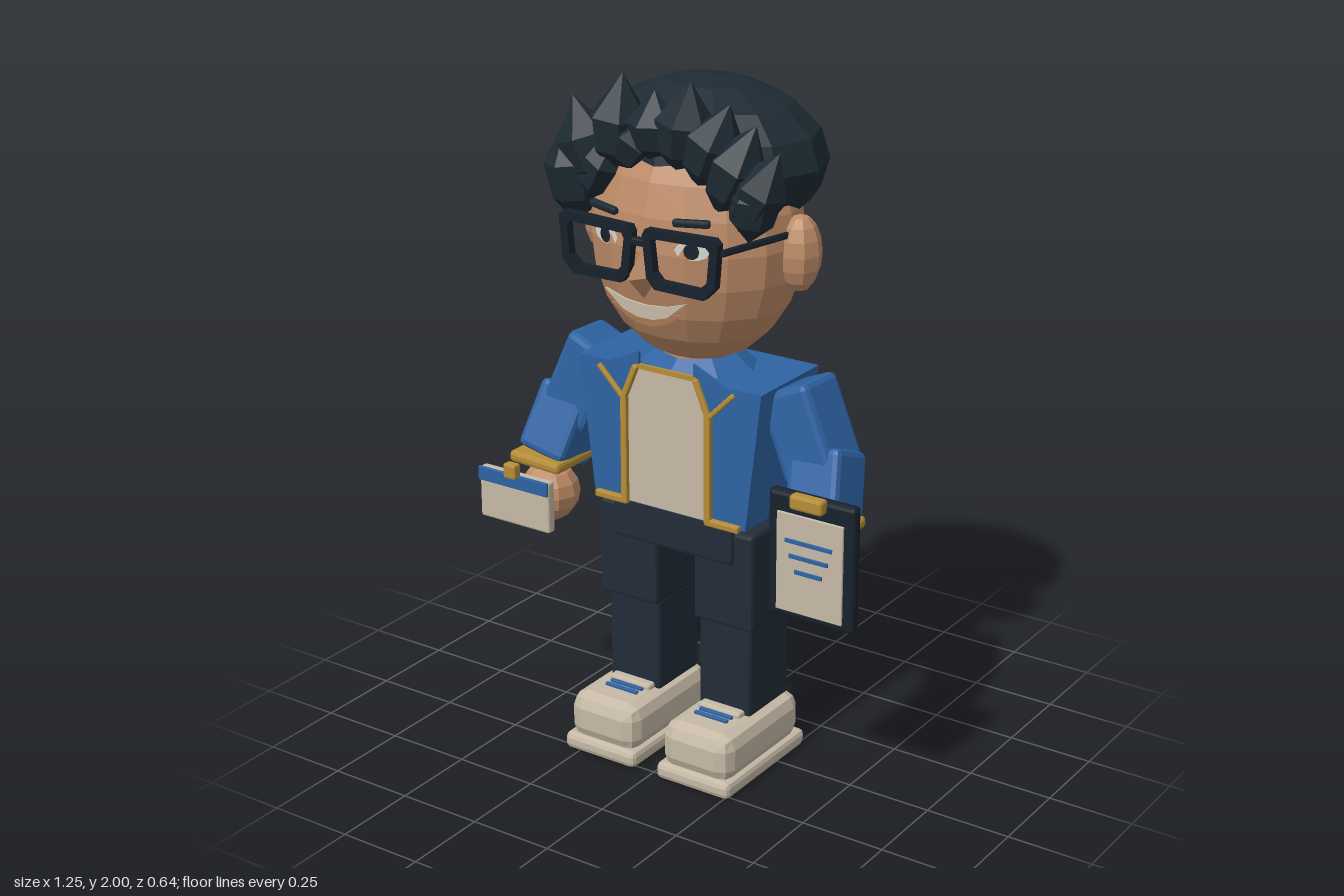
import * as THREE from 'three';
import { RoundedBoxGeometry } from 'three/addons/geometries/RoundedBoxGeometry.js';

const mat = (name, color) => {
  const m = new THREE.MeshStandardMaterial({ color, flatShading: true, side: THREE.DoubleSide });
  m.name = name;
  return m;
};

export function createModel() {
  const skin = mat('skin', 0xbe8c68), lip = mat('lip', 0xa87553), cream = mat('cream', 0xc6baa6);
  const blue = mat('jacketBlue', 0x2e63a3), navy = mat('trouserNavy', 0x222d38), hair = mat('hair', 0x1e2b34);
  const gold = mat('gold', 0xb68d36), dark = mat('frameBlack', 0x17212b), white = mat('eyeWhite', 0xd8d8d2);

  const model = new THREE.Group();
  model.name = 'figure';
  const body = new THREE.Group();
  body.name = 'body';
  body.position.x = -0.016;
  model.add(body);

  const add = (name, geo, material, x = 0, y = 0, z = 0, parent = body) => {
    const m = new THREE.Mesh(geo, material);
    m.name = name;
    m.position.set(x, y, z);
    parent.add(m);
    return m;
  };
  // Box with chamfered edges
  const box = (name, w, h, d, material, x, y, z, bevel = 0.012) =>
    add(name, new RoundedBoxGeometry(w, h, d, 1, Math.min(bevel, w / 3, h / 3, d / 3)), material, x, y, z);
  // Flat plate cut from an outline
  const plate = (name, pts, depth, material, z, parent = body) =>
    add(name, new THREE.ExtrudeGeometry(new THREE.Shape(pts.map(p => new THREE.Vector2(...p))),
      { depth, bevelEnabled: false }), material, 0, 0, z, parent);
  // Chamfered bar between two points
  const bar = (name, a, b, w, d, material, bevel = 0.018) => {
    const A = new THREE.Vector3(...a), B = new THREE.Vector3(...b);
    const dir = A.clone().sub(B), len = dir.length();
    const m = box(name, w, len, d, material, 0, 0, 0, bevel);
    m.position.copy(A).add(B).multiplyScalar(0.5);
    m.quaternion.setFromUnitVectors(new THREE.Vector3(0, 1, 0), dir.normalize());
    return m;
  };
  const ball = (name, rx, ry, rz, ws, hs, material, x, y, z) => {
    const g = new THREE.SphereGeometry(1, ws, hs);
    g.scale(rx, ry, rz);
    return add(name, g, material, x, y, z);
  };

  // Head and hair cap
  ball('head', 0.31, 0.365, 0.255, 16, 12, skin, 0, 1.55, 0.005);
  add('neck', new THREE.CylinderGeometry(0.095, 0.1, 0.12, 10), skin, 0, 1.19, 0.005);
  ball('hairCap', 0.345, 0.215, 0.265, 12, 8, hair, 0, 1.752, -0.055);

  // Faceted tufts along the hairline: x, y, tilt, half length, radius
  const tuftProfile = [[0, -1], [0.8, -0.5], [1, 0.15], [0, 1]].map(p => new THREE.Vector2(...p));
  const tufts = [
    [-0.29, 1.71, 0.1, 0.15, 0.078], [-0.24, 1.79, 0.35, 0.135, 0.078], [-0.19, 1.74, -0.5, 0.12, 0.07],
    [-0.135, 1.86, -0.1, 0.14, 0.082], [-0.08, 1.82, -0.6, 0.1, 0.07], [-0.02, 1.865, 0, 0.1, 0.08],
    [0.075, 1.875, -0.15, 0.13, 0.082], [0.165, 1.84, -0.4, 0.13, 0.08], [0.235, 1.79, -0.45, 0.14, 0.08],
    [0.305, 1.74, -0.5, 0.13, 0.075], [0.29, 1.71, -0.15, 0.11, 0.072],
  ];
  tufts.forEach(([x, y, tilt, h, r], i) => {
    const t = add('hairTuft', new THREE.LatheGeometry(tuftProfile, 6), hair, x, y, 0.172);
    t.scale.set(r, h, r);
    t.rotation.set(0, i * 0.2, tilt, 'ZYX');
  });

  // Nose, mouth and lower lip
  const nose = add('nose', new THREE.OctahedronGeometry(1), skin, 0, 1.49, 0.255);
  nose.scale.set(0.045, 0.068, 0.068);
  const smile = (w, top, mid, low) => [
    [-w, top], [-w * 0.55, low + 0.014], [-w * 0.2, low], [w * 0.2, low], [w * 0.55, low + 0.014], [w, top],
    [w * 0.5, mid + 0.006], [0, mid], [-w * 0.5, mid + 0.006]];
  plate('lowerLip', smile(0.115, 1.39, 1.38, 1.345), 0.008, lip, 0.238);
  plate('teeth', smile(0.13, 1.428, 1.402, 1.366), 0.009, cream, 0.243);

  const lens = [[-0.12, 0.07], [-0.105, 0.085], [0.108, 0.078], [0.118, 0.06], [0.105, -0.055],
    [0.08, -0.083], [-0.075, -0.085], [-0.11, -0.05]];
  for (const s of [-1, 1]) {
    ball('ear', 0.058, 0.107, 0.065, 8, 8, skin, s * 0.318, 1.535, -0.012);
    // Eyes and brows
    const eye = new THREE.Group();
    eye.name = 'eye';
    eye.position.set(s * 0.137, 1.57, 0.232);
    eye.rotation.y = s * 0.3;
    body.add(eye);
    const disc = (name, rx, ry, material, z) => {
      const m = add(name, new THREE.CircleGeometry(1, 10), material, 0, 0, z, eye);
      m.scale.set(rx, ry, 1);
    };
    disc('eyeball', 0.048, 0.026, white, 0);
    disc('iris', 0.022, 0.022, dark, 0.004);
    bar('brow', [s * 0.09, 1.645, 0.25], [s * 0.19, 1.65, 0.225], 0.02, 0.02, hair, 0.006);

    // Glasses rim, pierced by the lens opening, and side arm
    const outline = lens.map(([x, y]) => new THREE.Vector2(s * x * -1, y));
    const rim = new THREE.Shape(outline);
    rim.holes.push(new THREE.Path(outline.map(p => new THREE.Vector2(p.x * 0.78, p.y * 0.7))));
    add('glassesRim', new THREE.ExtrudeGeometry(rim, { depth: 0.026, bevelEnabled: false }),
      dark, s * 0.134, 1.548, 0.26);
    bar('glassesArm', [s * 0.25, 1.592, 0.268], [s * 0.305, 1.592, 0.02], 0.018, 0.018, dark, 0.004);
  }
  bar('glassesBridge', [-0.035, 1.585, 0.275], [0.035, 1.585, 0.275], 0.022, 0.022, dark, 0.005);

  // Jacket, shirt and collar
  plate('jacket', [[-0.252, 0.77], [0.252, 0.77], [0.232, 0.78], [0.3, 1.175], [-0.3, 1.175], [-0.232, 0.78]]
    .filter((_, i) => i !== 2 && i !== 5), 0.29, blue, -0.145);
  plate('shirt', [[-0.138, 0.775], [0.138, 0.775], [0.138, 1.09], [0.1, 1.182], [-0.1, 1.182], [-0.138, 1.09]],
    0.008, cream, 0.145);
  const collar = new THREE.CylinderGeometry(0.105, 0.19, 0.06, 8, 1, true);
  collar.scale(1, 1, 0.75);
  add('collar', collar, blue, 0, 1.2, 0);
  for (const s of [-1, 1]) {
    plate('lapel', [[s * 0.09, 1.225], [s * 0.225, 1.165], [s * 0.145, 1.085], [s * 0.09, 1.18]], 0.009, blue, 0.148);
    bar('lapelTrim', [s * 0.222, 1.165, 0.16], [s * 0.143, 1.085, 0.16], 0.014, 0.014, gold, 0.004);
    bar('zipUpper', [s * 0.098, 1.185, 0.158], [s * 0.14, 1.085, 0.158], 0.018, 0.018, gold, 0.004);
    bar('zip', [s * 0.139, 1.095, 0.158], [s * 0.139, 0.77, 0.158], 0.02, 0.018, gold, 0.004);
    bar('hemTrim', [s * 0.13, 0.776, 0.156], [s * 0.24, 0.776, 0.156], 0.02, 0.02, gold, 0.004);
  }
  plate('shirtTopTrim', [[-0.1, 1.176], [0.1, 1.176], [0.1, 1.19], [-0.1, 1.19]], 0.01, gold, 0.148);

  // Arms, legs and shoes
  for (const s of [-1, 1]) {
    bar('upperArm', [s * 0.315, 1.17, -0.005], [s * 0.42, 0.93, 0.005], 0.165, 0.165, blue);
    bar('forearm', [s * 0.42, 1.0, -0.005], [s * 0.457, 0.81, 0.075], 0.16, 0.16, blue);
    const cuff = box('cuff', 0.175, 0.034, 0.175, gold, s * 0.457, 0.815, 0.08);
    cuff.rotation.z = s * 0.04;
    ball('hand', 0.088, 0.09, 0.088, 10, 8, skin, s * 0.46, 0.705, 0.086);

    box('thigh', 0.195, 0.295, 0.235, navy, s * 0.161, 0.597, 0.002);
    box('shin', 0.172, 0.29, 0.205, navy, s * 0.155, 0.315, -0.002);
    box('sole', 0.245, 0.05, 0.41, cream, s * 0.16, 0.027, 0.07, 0.016);
    box('shoeUpper', 0.23, 0.145, 0.39, cream, s * 0.16, 0.107, 0.07, 0.042);
    box('shoeTongue', 0.14, 0.03, 0.14, cream, s * 0.155, 0.18, 0.06, 0.008);
    for (const z of [0.115, 0.14, 0.165])
      box('lace', 0.11, 0.009, 0.012, blue, s * 0.155, 0.184, z, 0.002);
  }
  box('hips', 0.4, 0.13, 0.28, navy, 0, 0.71, -0.005);
  box('crotch', 0.16, 0.1, 0.2, navy, 0, 0.68, 0);

  // Clipboard in the left hand
  box('clipboard', 0.268, 0.365, 0.036, dark, 0.505, 0.773, 0.2);
  box('paper', 0.205, 0.285, 0.008, cream, 0.505, 0.757, 0.221, 0.002);
  [[0.145, 0.823], [0.12, 0.78], [0.085, 0.737]].forEach(([w, y]) =>
    box('writtenLine', w, 0.012, 0.005, blue, 0.504, y, 0.227, 0.001));
  box('boardClip', 0.1, 0.042, 0.035, gold, 0.505, 0.945, 0.233, 0.008);

  // Card in the right hand
  box('card', 0.246, 0.155, 0.03, cream, -0.486, 0.714, 0.206, 0.006);
  box('cardBand', 0.246, 0.042, 0.009, blue, -0.486, 0.773, 0.224, 0.002);
  box('cardClip', 0.042, 0.045, 0.03, gold, -0.486, 0.807, 0.228, 0.006);

  return model;
}
